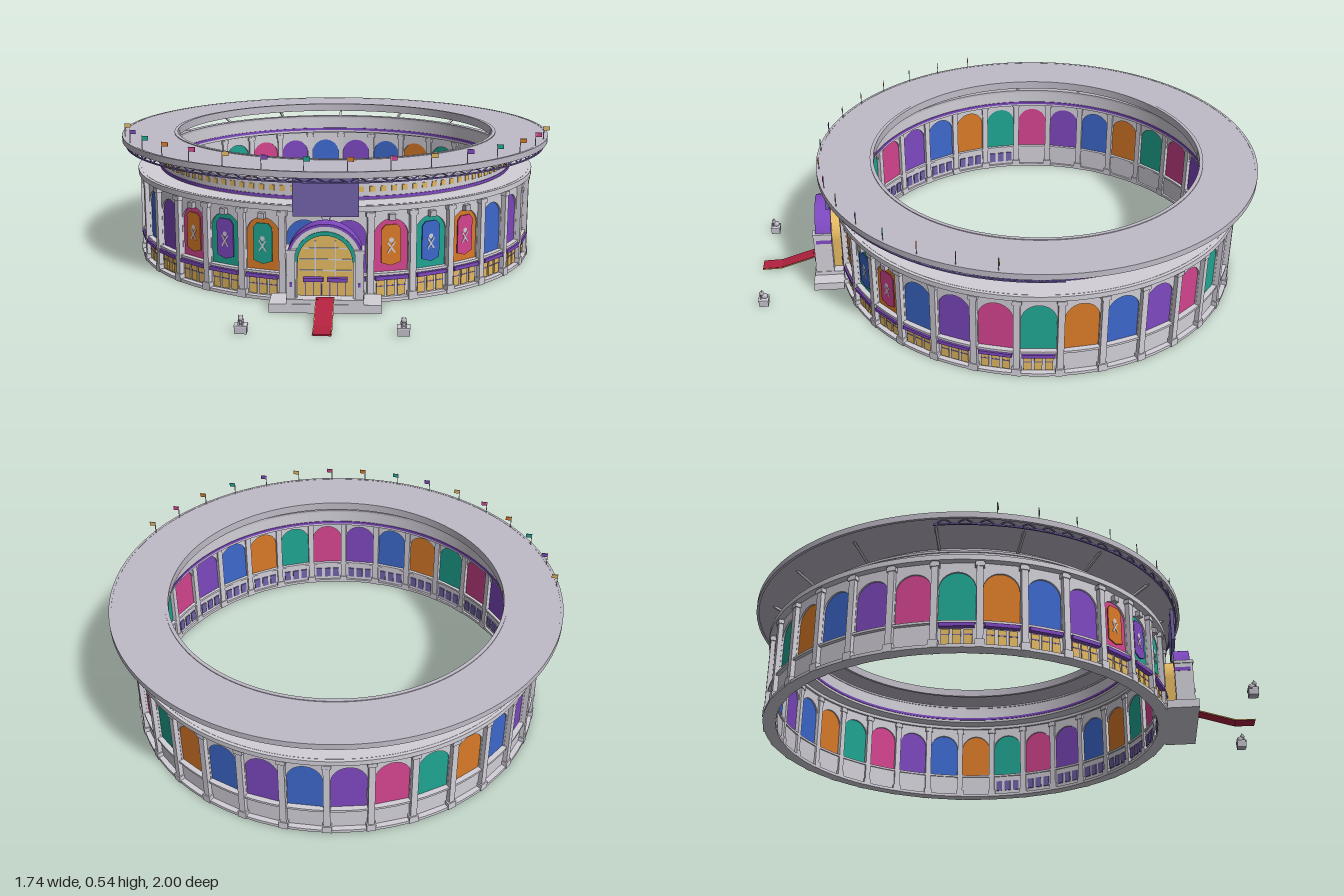
import * as THREE from 'three';
import { toCreasedNormals } from 'three/addons/utils/BufferGeometryUtils.js';

const mat = (name, color) => {
  const m = new THREE.MeshStandardMaterial({ color });
  m.name = name;
  return m;
};

export function createModel() {
  const stone = mat('stone', 0xd2cfd8), roofGrey = mat('roof grey', 0xc0bcc8);
  const blue = mat('blue', 0x3c68cc), purple = mat('purple', 0x7d48bf), pink = mat('pink', 0xd4448f);
  const teal = mat('teal', 0x1fa592), orange = mat('orange', 0xd97a28), gold = mat('gold', 0xe2b862);
  const lavender = mat('lavender', 0x7262aa), red = mat('red', 0xb3223f);

  const model = new THREE.Group();
  model.name = 'arena';
  const bowl = new THREE.Group();
  bowl.name = 'ringBuilding';
  bowl.position.z = -0.13;
  model.add(bowl);

  const add = (parent, name, geo, m, x = 0, y = 0, z = 0) => {
    const mesh = new THREE.Mesh(geo, m);
    mesh.name = name;
    mesh.position.set(x, y, z);
    parent.add(mesh);
    return mesh;
  };
  const box = (parent, name, m, w, h, d, x, y, z) =>
    add(parent, name, new THREE.BoxGeometry(w, h, d), m, x, y, z);
  // Rectangular-section ring, turned about the building axis
  const ring = (name, m, r0, r1, y0, y1, start = 0, sweep = Math.PI * 2) => {
    const pts = [[r0, y0], [r1, y0], [r1, y1], [r0, y1], [r0, y0]].map(p => new THREE.Vector2(...p));
    const geo = new THREE.LatheGeometry(pts, Math.round(sweep * 20), start, sweep);
    return add(bowl, name, toCreasedNormals(geo, 0.6), m);
  };
  const bar = (parent, name, m, a, b, t) => {
    const mesh = add(parent, name, new THREE.BoxGeometry(t, t, a.distanceTo(b)), m);
    mesh.position.copy(a).lerp(b, 0.5);
    mesh.quaternion.setFromUnitVectors(new THREE.Vector3(0, 0, 1), b.clone().sub(a).normalize());
    return mesh;
  };
  const polar = (a, r, y) => new THREE.Vector3(Math.sin(a) * r, y, Math.cos(a) * r);
  // Round-headed outline, used for openings, panels and the portal
  const archOutline = (S, w, y0, spring) => {
    const s = new S();
    s.moveTo(-w, y0);
    s.lineTo(w, y0);
    s.lineTo(w, spring);
    s.absarc(0, spring, w, 0, Math.PI, false);
    s.lineTo(-w, y0);
    return s;
  };
  const extrude = (shape, depth) =>
    new THREE.ExtrudeGeometry(shape, { depth, bevelEnabled: false, curveSegments: 14 });
  const archBand = (r0, r1, depth) => {
    const s = new THREE.Shape();
    s.absarc(0, 0, r1, 0, Math.PI, false);
    s.absarc(0, 0, r0, Math.PI, 0, true);
    return extrude(s, depth);
  };

  // Thirty-two wall bays
  const step = Math.PI / 16;
  const wallShape = new THREE.Shape([[-0.0775, 0], [0.0775, 0], [0.0775, 0.345], [-0.0775, 0.345]]
    .map(p => new THREE.Vector2(...p)));
  wallShape.holes.push(archOutline(THREE.Path, 0.064, 0.105, 0.235));
  const wallGeo = extrude(wallShape, 0.02);
  const panelGeo = extrude(archOutline(THREE.Shape, 0.065, 0.1, 0.235), 0.006);
  const bannerGeo = extrude(new THREE.Shape([[-0.036, 0.14], [0, 0.128], [0.036, 0.14], [0.036, 0.262],
    [0.022, 0.278], [-0.022, 0.278], [-0.036, 0.262]].map(p => new THREE.Vector2(...p))), 0.004);
  const cycle = [blue, purple, pink, teal, orange];
  const banners = { 1: orange, 2: blue, 3: pink, 28: orange, 29: purple, 30: teal };
  for (let i = 0; i < 32; i++) {
    const bay = new THREE.Group();
    bay.name = 'wallBay';
    bay.rotation.y = (i + 0.5) * step;
    bowl.add(bay);
    add(bay, 'wallFrame', wallGeo, stone, 0, 0, 0.765);
    add(bay, 'archPanel', panelGeo, cycle[i < 16 ? (i + 1) % 5 : (i - 16) % 5], 0, 0, 0.772);
    if (i < 8 || i > 23) {
      // Doors outside, windows inside, and an awning
      for (const x of [-0.039, 0, 0.039]) {
        box(bay, 'door', gold, 0.029, 0.058, 0.006, x, 0.046, 0.787);
        box(bay, 'doorRail', lavender, 0.029, 0.004, 0.008, x, 0.054, 0.787);
        box(bay, 'innerWindow', lavender, 0.026, 0.045, 0.006, x, 0.05, 0.763);
      }
      box(bay, 'awning', purple, 0.122, 0.014, 0.022, 0, 0.087, 0.793);
    }
    if (banners[i]) {
      add(bay, 'banner', bannerGeo, banners[i], 0, 0, 0.784);
      add(bay, 'bannerDisc', new THREE.CircleGeometry(0.009, 16), stone, 0, 0.222, 0.789);
      for (const t of [-0.6, 0.6])
        box(bay, 'bannerStroke', stone, 0.006, 0.048, 0.003, 0, 0.195, 0.788).rotation.z = t;
      box(bay, 'keystoneLamp', roofGrey, 0.024, 0.022, 0.022, 0, 0.308, 0.792);
    }
    // Pilaster between bays
    const pier = new THREE.Group();
    pier.name = 'pilaster';
    pier.rotation.y = i * step;
    bowl.add(pier);
    box(pier, 'shaft', stone, 0.024, 0.345, 0.046, 0, 0.1725, 0.782);
    box(pier, 'foot', stone, 0.034, 0.03, 0.054, 0, 0.015, 0.782);
    box(pier, 'capital', stone, 0.034, 0.016, 0.052, 0, 0.322, 0.782);
  }
  ring('baseCourse', stone, 0.757, 0.806, 0, 0.012);
  ring('sillCourse', stone, 0.76, 0.799, 0.096, 0.105);
  ring('cornice', stone, 0.755, 0.812, 0.335, 0.355);
  ring('deck', stone, 0.70, 0.80, 0.348, 0.356);

  // Upper drum with a row of small windows on the front half
  ring('drum', stone, 0.70, 0.72, 0.355, 0.425);
  ring('drumBand', purple, 0.697, 0.723, 0.358, 0.369);
  ring('drumRim', roofGrey, 0.697, 0.724, 0.418, 0.427);
  for (let i = -27; i <= 27; i++) {
    const a = i * Math.PI / 56;
    const w = box(bowl, 'drumWindow', gold, 0.02, 0.02, 0.006, 0, 0, 0);
    w.position.copy(polar(a, 0.72, 0.395));
    w.rotation.y = a;
  }

  // Roof and its struts
  ring('roof', roofGrey, 0.65, 0.87, 0.471, 0.49);
  ring('roofInnerLip', roofGrey, 0.648, 0.662, 0.46, 0.493);
  ring('roofOuterLip', roofGrey, 0.862, 0.872, 0.468, 0.491);
  for (let i = 0; i < 16; i++) {
    const a = i * Math.PI / 8;
    bar(bowl, 'roofStrut', roofGrey, polar(a, 0.71, 0.424), polar(a, 0.81, 0.474), 0.009);
  }

  // Lattice truss under the front half of the roof edge
  ring('trussChord', lavender, 0.853, 0.859, 0.448, 0.453, -Math.PI / 2, Math.PI);
  for (let i = 0; i < 72; i++) {
    const a = -Math.PI / 2 + i * Math.PI / 72, b = a + Math.PI / 72;
    const up = i % 2;
    bar(bowl, 'trussBar', lavender, polar(a, 0.856, up ? 0.47 : 0.45), polar(b, 0.856, up ? 0.45 : 0.47), 0.004);
  }

  // Sixteen flags
  const flagColours = [gold, purple, teal, orange, pink];
  for (let i = 0; i < 16; i++) {
    const p = polar((i * 10 - 75) * Math.PI / 180, 0.86, 0);
    box(bowl, 'flagPole', roofGrey, 0.003, 0.055, 0.003, p.x, 0.515, p.z);
    box(bowl, 'flag', flagColours[i % 5], 0.022, 0.016, 0.003, p.x + 0.012, 0.533, p.z);
  }

  // Entrance: plinth, arched portal, window and doors
  const gate = new THREE.Group();
  gate.name = 'entrance';
  model.add(gate);
  box(gate, 'plinth', stone, 0.39, 0.032, 0.12, 0, 0.016, 0.72);
  box(gate, 'plinthStep', stone, 0.27, 0.016, 0.115, 0, 0.04, 0.72);
  const portal = archOutline(THREE.Shape, 0.13, 0.045, 0.18);
  portal.holes.push(archOutline(THREE.Path, 0.097, 0.046, 0.18));
  add(gate, 'portalArch', extrude(portal, 0.06), stone, 0, 0, 0.70);
  add(gate, 'portalGlass', extrude(archOutline(THREE.Shape, 0.097, 0.046, 0.17), 0.07), gold, 0, 0, 0.66);
  add(gate, 'outerArchBand', archBand(0.125, 0.134, 0.062), purple, 0, 0.18, 0.70);
  add(gate, 'innerArchBand', archBand(0.094, 0.108, 0.008), teal, 0, 0.18, 0.756);
  for (const s of [-1, 1]) {
    box(gate, 'portalPier', stone, 0.03, 0.17, 0.07, s * 0.118, 0.13, 0.736);
    box(gate, 'pierCap', stone, 0.038, 0.012, 0.076, s * 0.118, 0.218, 0.736);
    box(gate, 'pierPlaque', purple, 0.008, 0.014, 0.004, s * 0.118, 0.10, 0.772);
    box(gate, 'gateAwning', purple, 0.07, 0.013, 0.02, s * 0.042, 0.11, 0.74);
    box(gate, 'windowMullion', stone, 0.004, 0.13, 0.004, s * 0.035, 0.182, 0.732);
    for (const x of [0.015, 0.042, 0.07])
      box(gate, 'gateDoorFrame', lavender, 0.004, 0.055, 0.004, s * x, 0.076, 0.732);
  }
  for (const y of [0.14, 0.18, 0.22])
    box(gate, 'windowTransom', stone, y > 0.2 ? 0.15 : 0.18, 0.004, 0.004, 0, y, 0.732);

  // Screen hung above the entrance
  box(model, 'screen', lavender, 0.23, 0.135, 0.014, 0, 0.395, 0.706);

  // Carpet running down from the plinth, with gold edging
  const path = [[0.76, 0.05], [0.79, 0.05], [0.925, 0.006], [1, 0.004]];
  for (let i = 0; i < 3; i++) {
    const [a, b] = [path[i], path[i + 1]].map(p => new THREE.Vector3(0, p[1], p[0]));
    bar(model, 'carpet', red, a, b, 0.006).scale.x = 10;
    for (const x of [-0.031, 0.031])
      bar(model, 'carpetEdge', gold, a.clone().setX(x), b.clone().setX(x), 0.003);
  }

  // Pair of seated animal statues on pedestals
  for (const s of [-1, 1]) {
    const statue = new THREE.Group();
    statue.name = 'statue';
    statue.position.set(s * 0.267, 0, 0.972);
    model.add(statue);
    box(statue, 'pedestal', roofGrey, 0.04, 0.024, 0.036, 0, 0.012, 0);
    box(statue, 'pedestalTop', stone, 0.044, 0.005, 0.04, 0, 0.026, 0);
    add(statue, 'body', new THREE.SphereGeometry(0.012, 12, 8), roofGrey, 0, 0.038, -0.004).scale.set(0.9, 1, 1.1);
    add(statue, 'head', new THREE.SphereGeometry(0.009, 12, 8), roofGrey, 0, 0.051, 0.006);
    for (const e of [-1, 1]) {
      add(statue, 'ear', new THREE.ConeGeometry(0.003, 0.007, 6), roofGrey, e * 0.006, 0.06, 0.005);
      box(statue, 'foreleg', roofGrey, 0.005, 0.014, 0.005, e * 0.006, 0.034, 0.011);
    }
  }
  return model;
}
